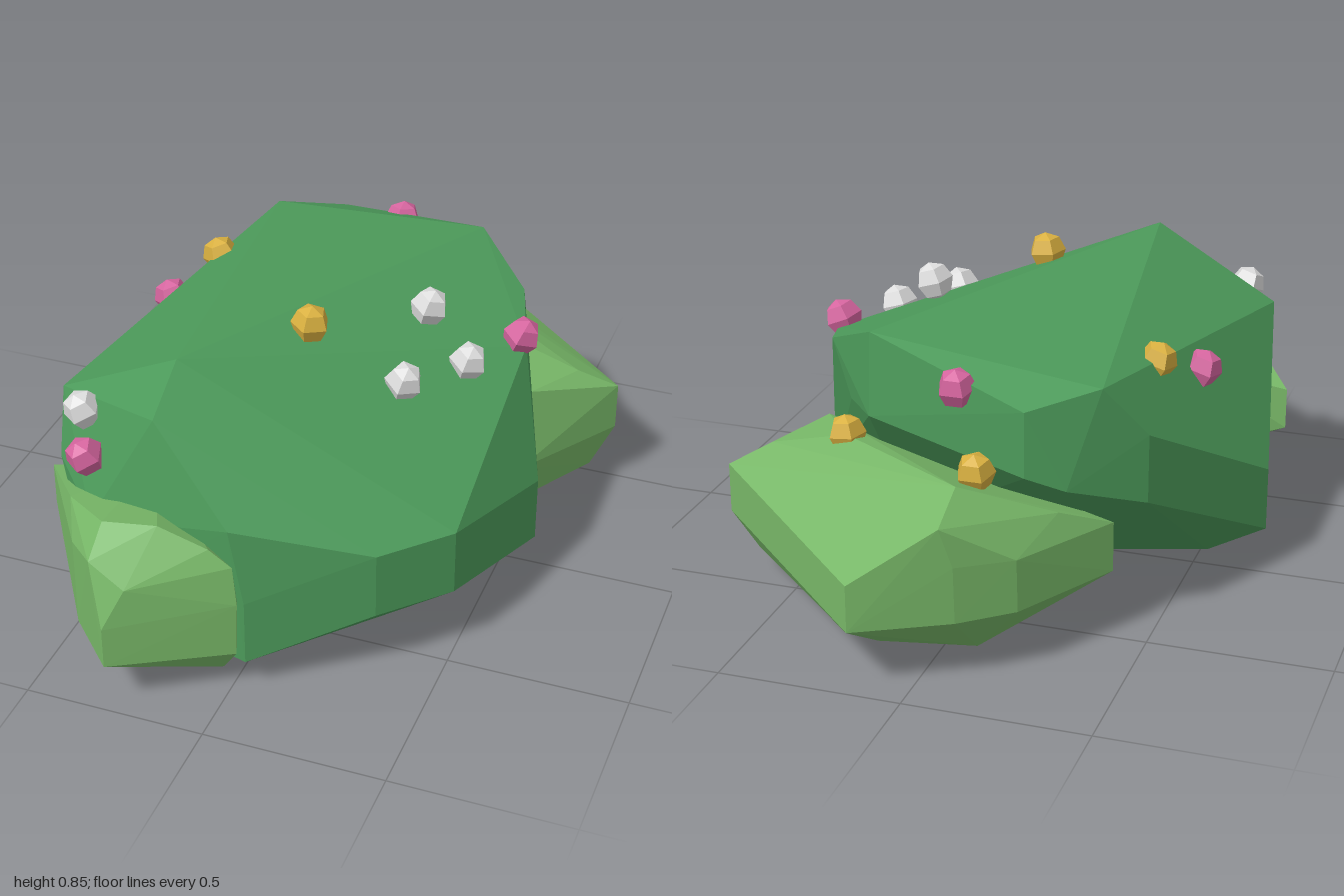
import * as THREE from 'three';
import { ConvexGeometry } from 'three/addons/geometries/ConvexGeometry.js';

const mat = (name, color, flatShading = true) => {
  const m = new THREE.MeshStandardMaterial({ color, flatShading });
  m.name = name;
  return m;
};

// A faceted clump of leaves: the hull around a few corner points
function clump(name, corners, material) {
  const points = corners.map(([x, y, z]) => new THREE.Vector3(x, y, z));
  const mesh = new THREE.Mesh(new ConvexGeometry(points), material);
  mesh.name = name;
  return mesh;
}

export function createModel() {
  const group = new THREE.Group();
  group.name = 'floweringBush';

  const darkLeaf = mat('dark leaf green', 0x4c9a5a);
  const lightLeaf = mat('light leaf green', 0x78b868);
  const petals = {
    white: mat('white petal', 0xdddddd),
    pink: mat('pink petal', 0xd6659f),
    yellow: mat('yellow petal', 0xd9b040),
  };

  // Large middle clump
  group.add(clump('mainBush', [
    // crown
    [-0.24, 0.82, 0.54], [-0.24, 0.73, 0.70], [-0.60, 0.63, 0.49],
    [0.27, 0.78, -0.48], [0.44, 0.69, -0.33], [0.51, 0.64, -0.12],
    [-0.38, 0.72, -0.53], [-0.21, 0.68, -0.65],
    // front and left flank
    [0.00, 0.51, 0.80], [0.04, 0.29, 0.80], [0.04, 0.10, 0.80],
    [0.34, 0.40, 0.63], [0.34, 0.21, 0.63],
    [0.50, 0.40, 0.46], [0.50, 0.21, 0.46],
    [0.61, 0.33, 0.06], [0.61, 0.14, 0.06],
    // right flank
    [-0.58, 0.46, 0.57], [-0.42, 0.40, 0.73], [-0.42, 0.16, 0.73],
    [-0.70, 0.31, 0.02], [-0.70, 0.13, 0.02],
    // back
    [-0.48, 0.57, -0.44], [-0.48, 0.38, -0.44], [-0.31, 0.46, -0.61],
    [-0.21, 0.50, -0.65], [0.27, 0.55, -0.50], [0.36, 0.55, -0.40],
    // underside
    [0.04, 0.005, 0.64], [-0.35, 0.01, 0.50], [-0.53, 0.03, 0.04],
    [0.45, 0.05, 0.03], [0.30, 0.07, -0.09], [-0.30, 0.07, -0.12],
  ], darkLeaf));

  // Small clump at the front
  group.add(clump('frontBush', [
    [-0.27, 0.27, 1.00], [-0.27, 0.15, 1.00], [-0.22, 0.38, 0.96],
    [-0.32, 0.44, 0.95], [-0.32, 0.505, 0.86], [-0.18, 0.505, 0.83],
    [-0.48, 0.45, 0.72], [-0.42, 0.40, 0.84], [-0.42, 0.14, 0.84],
    [-0.65, 0.36, 0.49], [-0.65, 0.24, 0.49], [-0.59, 0.21, 0.50],
    [-0.05, 0.45, 0.81], [0.01, 0.40, 0.80], [0.025, 0.29, 0.81],
    [0.02, 0.13, 0.81], [-0.03, 0.05, 0.78], [-0.30, 0.055, 0.85],
    [-0.35, 0.42, 0.45], [-0.35, 0.12, 0.50], [-0.05, 0.30, 0.60],
  ], lightLeaf));

  // Medium clump at the back
  group.add(clump('backBush', [
    [0.14, 0.31, -1.00], [0.14, 0.18, -1.00], [-0.07, 0.51, -0.77],
    [-0.07, 0.45, -0.90], [-0.10, 0.34, -0.88], [-0.10, 0.18, -0.87],
    [-0.23, 0.33, -0.77], [-0.23, 0.18, -0.76], [-0.29, 0.40, -0.61],
    [-0.40, 0.33, -0.48], [-0.40, 0.19, -0.48],
    [0.70, 0.34, -0.47], [0.70, 0.20, -0.47], [0.59, 0.40, -0.42],
    [0.36, 0.46, -0.44], [0.50, 0.42, -0.23], [0.64, 0.31, -0.39],
    [0.50, 0.20, -0.16], [0.40, 0.05, -0.08],
    [0.64, 0.08, -0.43], [0.53, 0.01, -0.40], [0.20, 0.02, -0.35],
    [-0.10, 0.03, -0.70], [0.12, 0.08, -0.84],
  ], lightLeaf));

  // Faceted blossoms dotted over the clumps: colour, position, lean about x and z
  const blossom = new THREE.SphereGeometry(0.054, 5, 4).rotateY(Math.PI / 2);
  const blossoms = [
    ['yellow', 0.01, 0.805, 0.23, 0, -0.1],
    ['yellow', -0.44, 0.69, -0.22, 0, 0.3],
    ['yellow', -0.08, 0.50, -0.65, -0.2, 0],
    ['yellow', 0.36, 0.465, -0.44, 0, -0.1],
    ['white', 0.26, 0.77, -0.02, 0, -0.3],
    ['white', 0.27, 0.675, 0.22, 0.2, -0.3],
    ['white', 0.395, 0.665, 0.05, 0.1, -0.3],
    ['white', -0.495, 0.64, 0.59, 0.3, 0.3],
    ['pink', 0.495, 0.67, -0.12, 0, -0.4],
    ['pink', -0.01, 0.70, -0.59, -0.2, 0],
    ['pink', -0.525, 0.62, -0.06, 0, 0.3],
    ['pink', -0.45, 0.56, 0.68, 0.4, 0.3],
  ];
  for (const [colour, x, y, z, leanX, leanZ] of blossoms) {
    const mesh = new THREE.Mesh(blossom, petals[colour]);
    mesh.name = `${colour}Blossom`;
    mesh.position.set(x, y, z);
    mesh.rotation.set(leanX, 0, leanZ);
    group.add(mesh);
  }
  return group;
}
